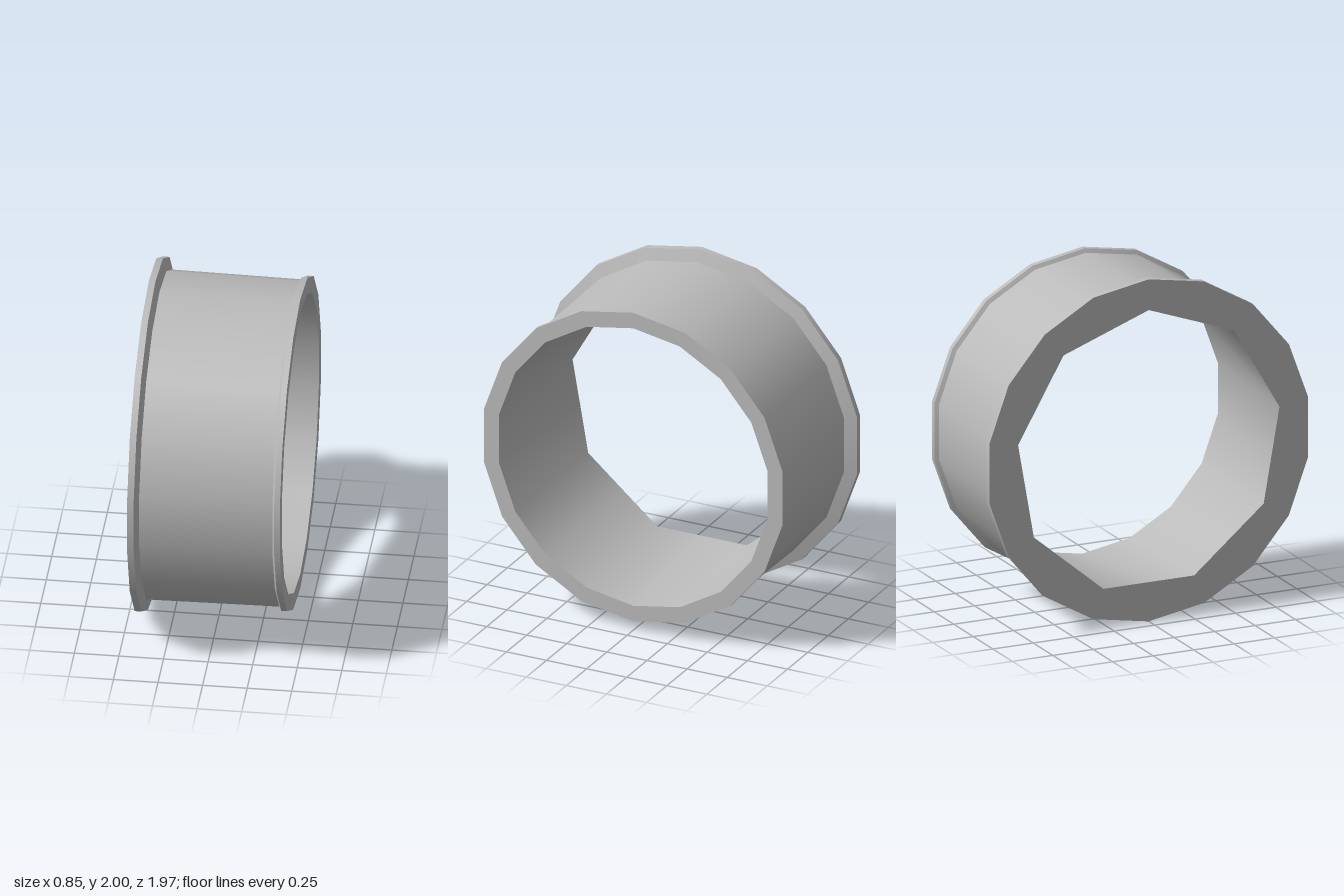
import * as THREE from 'three';

const SIDES = 18;

// Ring of points around the x axis; a nonagon is 18 points with every second one at an edge midpoint
function ring({ x, r, nonagon }) {
  return Array.from({ length: SIDES }, (_, i) => {
    const t = (i / SIDES) * Math.PI * 2;
    const k = nonagon && i % 2 ? r * Math.cos(Math.PI / 9) : r;
    return [x, 1 + k * Math.cos(t), k * Math.sin(t)];
  });
}

// Band between two rings: smooth around, sharp where it meets its neighbours
function band(from, to) {
  const index = [];
  for (let i = 0; i < SIDES; i++) {
    const j = (i + 1) % SIDES;
    const a = i, b = i + SIDES, c = j, d = j + SIDES;
    if (i % 2) index.push(a, c, d, a, d, b);
    else index.push(a, c, b, c, d, b);
  }
  const geo = new THREE.BufferGeometry();
  geo.setAttribute('position', new THREE.Float32BufferAttribute([...ring(from), ...ring(to)].flat(), 3));
  geo.setIndex(index);
  geo.computeVertexNormals();
  return geo;
}

export function createModel() {
  const model = new THREE.Group();
  model.name = 'flangedRing';
  const grey = new THREE.MeshStandardMaterial({ color: 0xbbbbbb });
  grey.name = 'grey';

  // Closed section: along the outside towards +x, back through the bore
  const section = [
    { x: -0.425, r: 1, name: 'wideFlangeRim' },
    { x: -0.388, r: 1, name: 'wideFlangeSlope' },
    { x: -0.366, r: 0.93, name: 'barrel' },
    { x: 0.38, r: 0.922, name: 'narrowFlangeSlope' },
    { x: 0.393, r: 0.945, name: 'narrowFlangeRim' },
    { x: 0.425, r: 0.945, name: 'narrowEndFace' },
    { x: 0.425, r: 0.85, name: 'bore' },
    { x: -0.425, r: 0.82, nonagon: true, name: 'wideEndFace' },
  ];
  section.forEach((p, i) => {
    const mesh = new THREE.Mesh(band(p, section[(i + 1) % section.length]), grey);
    mesh.name = p.name;
    model.add(mesh);
  });
  return model;
}
